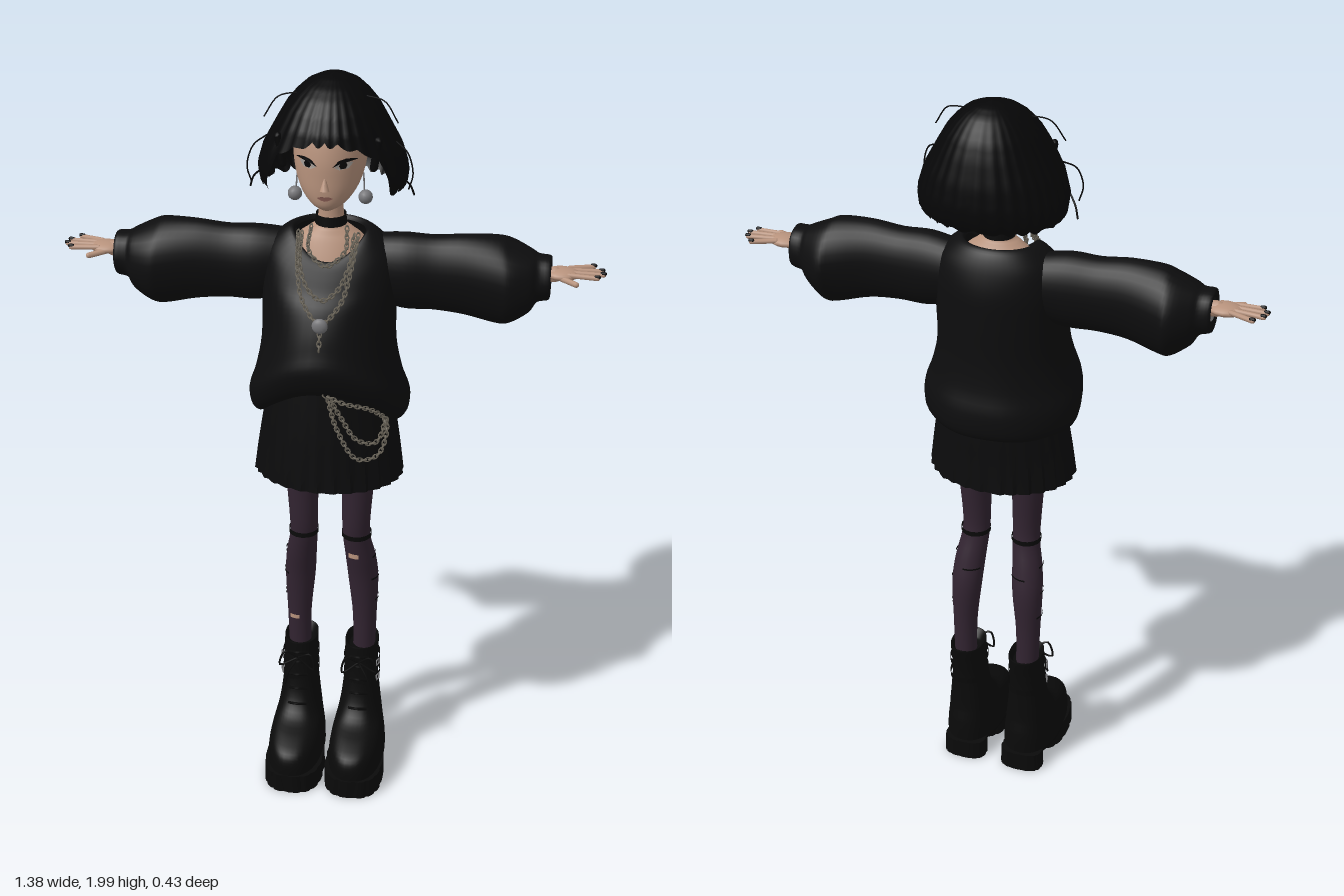
import * as THREE from 'three';
import { mergeGeometries, toCreasedNormals } from 'three/addons/utils/BufferGeometryUtils.js';

const V = (x, y, z) => new THREE.Vector3(x, y, z);
const mat = (name, color, side = THREE.FrontSide) => {
  const m = new THREE.MeshStandardMaterial({ color, side });
  m.name = name;
  return m;
};

// Closed tube surface: fn(u, angle) gives a point, angle 0 faces the front
function grid(rows, seg, fn, caps) {
  const pos = [], idx = [];
  for (let i = 0; i <= rows; i++)
    for (let j = 0; j < seg; j++) pos.push(...fn(i / rows, j / seg * Math.PI * 2).toArray());
  for (let i = 0; i < rows; i++) for (let j = 0; j < seg; j++) {
    const k = (j + 1) % seg, a = i * seg + j, b = i * seg + k;
    idx.push(a, b, b + seg, a, b + seg, a + seg);
  }
  if (caps) for (const row of [0, rows]) {
    const c = V(0, 0, 0), n = pos.length / 3;
    for (let j = 0; j < seg; j++) c.add(V().fromArray(pos, (row * seg + j) * 3));
    pos.push(...c.divideScalar(seg).toArray());
    for (let j = 0; j < seg; j++) {
      const a = row * seg + j, b = row * seg + (j + 1) % seg;
      idx.push(n, ...(row ? [a, b] : [b, a]));
    }
  }
  const g = new THREE.BufferGeometry();
  g.setAttribute('position', new THREE.Float32BufferAttribute(pos, 3));
  g.setIndex(idx);
  g.computeVertexNormals();
  return g;
}

// Rings, low to high: [y, half width, front z, back z, front lift, centre x]
function sampler(rings) {
  const cols = [0, 1, 2, 3, 4, 5].map(k =>
    new THREE.SplineCurve(rings.map((r, i) => new THREE.Vector2(i, r[k] || 0))));
  return u => cols.map(c => c.getPoint(u).y);
}
function loft(rings, { seg = 32, steps = 4, p = 1, caps = false, warp = () => 1 } = {}) {
  const at = sampler(rings);
  const pw = v => Math.sign(v) * Math.abs(v) ** p;
  return grid((rings.length - 1) * steps, seg, (u, a) => {
    const [y, rx, zf, zb, lift, cx] = at(u), w = warp(a, u);
    return V(cx + rx * w * pw(Math.sin(a)), y + lift * Math.max(0, Math.cos(a)) ** 2,
      (zf + zb) / 2 + (zf - zb) / 2 * w * pw(Math.cos(a)));
  }, caps);
}
function ringAt(rings, y) {
  let i = 0;
  while (i < rings.length - 2 && rings[i + 1][0] < y) i++;
  const a = rings[i], b = rings[i + 1], t = THREE.MathUtils.clamp((y - a[0]) / (b[0] - a[0]), 0, 1);
  return a.map((v, k) => v + (b[k] - v) * t);
}
function mirrored(geo) {
  const g = geo.clone().scale(-1, 1, 1);
  const ix = g.index ? Array.from(g.index.array) : Array.from({ length: g.attributes.position.count }, (_, i) => i);
  for (let i = 0; i < ix.length; i += 3) [ix[i], ix[i + 1]] = [ix[i + 1], ix[i]];
  return g.setIndex(ix);
}
const tube = (pts, r, n = 16) => new THREE.TubeGeometry(new THREE.CatmullRomCurve3(pts.map(q => V(...q))), n, r, 5);
function capsule(a, b, r) {
  const d = V(...b).sub(V(...a)), len = d.length();
  const g = new THREE.CapsuleGeometry(r, len, 3, 8);
  g.applyQuaternion(new THREE.Quaternion().setFromUnitVectors(V(0, 1, 0), d.normalize()));
  return g.translate((a[0] + b[0]) / 2, (a[1] + b[1]) / 2, (a[2] + b[2]) / 2);
}
function chain(pts) {
  const curve = new THREE.CatmullRomCurve3(pts.map(q => V(...q)));
  const n = Math.round(curve.getLength() / 0.011), links = [];
  for (let i = 0; i <= n; i++) {
    const g = new THREE.TorusGeometry(0.0065, 0.0022, 4, 8).scale(1.25, 0.9, 1).rotateX(i % 2 ? 1.2 : 0);
    g.applyQuaternion(new THREE.Quaternion().setFromUnitVectors(V(1, 0, 0), curve.getTangentAt(i / n)));
    links.push(g.translate(...curve.getPointAt(i / n).toArray()));
  }
  return mergeGeometries(links);
}

export function createModel() {
  const root = new THREE.Group();
  const D = THREE.DoubleSide;
  const knit = mat('black knit', 0x0d0d0e, D), hairMat = mat('black hair', 0x060607, D);
  const skirtMat = mat('skirt cloth', 0x0b0b0c, D), leather = mat('boot leather', 0x0a0a0a, D);
  const tights = mat('plum tights', 0x322431), skin = mat('skin', 0xb8937d, D);
  const metal = mat('aged metal', 0x6e685c), silver = mat('silver', 0x77777a);
  const eyeMat = mat('eye white', 0xa39c96, D), lipMat = mat('lips', 0x8c5f56, D);
  const add = (name, geo, m) => {
    const mesh = new THREE.Mesh(geo, m);
    mesh.name = name;
    root.add(mesh);
  };
  const both = (name, geo, m) => {
    add(name + 'Left', geo, m);
    add(name + 'Right', mirrored(geo), m);
  };

  // Head, neck and upper chest
  const head = [[1.685, .015, .068, .035], [1.70, .042, .083, -.005], [1.73, .068, .089, -.05],
    [1.77, .084, .09, -.09], [1.82, .092, .088, -.12], [1.88, .09, .072, -.125],
    [1.93, .065, .03, -.11], [1.95, .02, -.02, -.07]];
  add('head', loft(head, { caps: true }), skin);
  add('neckAndChest', loft([[1.46, .10, .085, -.09], [1.54, .10, .055, -.085], [1.585, .085, .035, -.07],
    [1.61, .055, .022, -.055], [1.635, .033, .015, -.047], [1.74, .031, .015, -.047]]), skin);
  const nose = new THREE.ConeGeometry(.012, .04, 8).scale(1, 1, 1.1);
  add('nose', nose.rotateX(-.25).translate(0, 1.765, .09), skin);

  // Face details laid on the surface of the head
  const faceZ = (x, y) => {
    const [, rx, f, b] = ringAt(head, y);
    return (f + b) / 2 + (f - b) / 2 * Math.sqrt(Math.max(0, 1 - (x / rx) ** 2));
  };
  const patch = (pts, out) => {
    const s = new THREE.Shape();
    s.setFromPoints(pts.map(q => new THREE.Vector2(...q)));
    const g = new THREE.ShapeGeometry(s), p = g.attributes.position;
    for (let i = 0; i < p.count; i++) p.setZ(i, faceZ(p.getX(i), p.getY(i)) + out);
    g.computeVertexNormals();
    return g;
  };
  both('eye', patch([[.022, 1.805], [.035, 1.798], [.055, 1.80], [.066, 1.812], [.052, 1.819], [.035, 1.817]], .003), eyeMat);
  both('iris', patch([[.038, 1.801], [.049, 1.801], [.053, 1.809], [.049, 1.818], [.038, 1.818], [.034, 1.809]], .005), hairMat);
  both('lashes', patch([[.018, 1.806], [.035, 1.814], [.053, 1.817], [.077, 1.817], [.066, 1.823], [.05, 1.826], [.033, 1.822]], .006), hairMat);
  add('mouth', patch([[-.02, 1.726], [-.01, 1.72], [0, 1.718], [.01, 1.72], [.02, 1.726], [.007, 1.731], [0, 1.729], [-.007, 1.731]], .004), lipMat);

  // Bobbed hair: a shell whose lower edge rises over the face as a fringe
  const hair = [[1.69, .165, .06, -.18], [1.72, .182, .085, -.205], [1.76, .187, .1, -.212], [1.82, .170, .102, -.205],
    [1.88, .138, .088, -.19], [1.92, .115, .066, -.175], [1.95, .09, .038, -.155], [1.97, .067, .008, -.135],
    [1.985, .036, -.03, -.105], [1.992, .001, -.067, -.069]];
  const ss = THREE.MathUtils.smoothstep;
  add('hair', grid(28, 144, (u, a) => {
    const f = Math.min(a, Math.PI * 2 - a);
    const edge = 1.868 - .03 * ss(f, .2, .75) - .115 * ss(f, .78, 1.02) - .012 * ss(f, 1.2, 2.4)
      - .014 * Math.abs(Math.sin(11 * a + Math.sin(5 * a)));
    const y = edge + (1.992 - edge) * Math.sin(u * Math.PI / 2);
    const [, rx, zf, zb] = ringAt(hair, y), w = 1 + .014 * Math.sin(30 * a + 2 * Math.sin(3 * a)) * (1 - u);
    return V(rx * w * Math.sin(a), y, (zf + zb) / 2 + (zf - zb) / 2 * w * Math.cos(a));
  }), hairMat);
  const lock = capsule([0, 0, 0], [0, .07, 0], .01);
  both('sideLock', lock.rotateZ(-.15).translate(.112, 1.79, .035), hairMat);
  both('flyaway', mergeGeometries([
    tube([[.16, 1.84, -.02], [.19, 1.82, 0], [.205, 1.77, .01], [.195, 1.73, .01]], .002),
    tube([[.17, 1.76, .0], [.195, 1.73, -.02], [.205, 1.70, -.03]], .0025),
    tube([[.08, 1.95, -.03], [.13, 1.94, -.02], [.165, 1.89, -.01]], .0018)]), hairMat);

  // Choker and earrings
  add('choker', new THREE.CylinderGeometry(.038, .04, .026, 24, 1, true).translate(0, 1.635, -.016), leather);
  both('earring', new THREE.SphereGeometry(.018, 14, 10).translate(.088, 1.70, .0), silver);
  both('earringWire', capsule([.085, 1.715, .0], [.082, 1.76, -.005], .002), silver);

  // Oversized jumper
  add('jumperBody', loft([[1.15, .165, .13, -.12, .10], [1.105, .182, .155, -.143, .12], [1.125, .203, .185, -.162, .12],
    [1.18, .207, .203, -.163, .12], [1.24, .188, .19, -.148, .11], [1.32, .172, .173, -.14, .08],
    [1.42, .17, .148, -.14, .03], [1.50, .172, .122, -.138, -.02], [1.56, .16, .1, -.125, -.045],
    [1.60, .125, .083, -.107, -.06], [1.615, .098, .07, -.09, -.065], [1.605, .088, .062, -.082, -.065]],
  { seg: 48, warp: (a, u) => 1 + .012 * Math.sin(7 * a + 9 * u) * (1 - u) }), knit);
  // Sleeve rings run outward along x: [x, half height, front z, back z, 0, -centre y]
  const sleeve = loft([[.09, .08, .03, -.09, 0, -1.51], [.18, .10, .048, -.085, 0, -1.503], [.26, .099, .045, -.08, 0, -1.502],
    [.34, .106, .052, -.085, 0, -1.502], [.42, .114, .066, -.108, 0, -1.492], [.455, .107, .07, -.118, 0, -1.487],
    [.50, .082, .052, -.092, 0, -1.492], [.52, .062, .035, -.075, 0, -1.502], [.55, .055, .032, -.07, 0, -1.506],
    [.548, .03, .01, -.05, 0, -1.51]], { warp: (a, u) => 1 + .025 * Math.sin(5 * a + 8 * u) * u });
  both('sleeve', sleeve.rotateZ(-Math.PI / 2), knit);

  // Hands with spread fingers and dark nails
  const fingers = [[-.045, -.066, .655], [-.032, -.04, .676], [-.016, -.018, .68], [0, .004, .666]];
  const digits = fingers.map(([z0, z1, x]) => capsule([.595, 1.522, z0], [x, 1.52, z1], .0065));
  digits.push(capsule([.57, 1.515, .0], [.615, 1.51, .027], .0075));
  const nails = fingers.map(([, z, x]) => capsule([x - .004, 1.5235, z], [x + .003, 1.5235, z], .0052));
  both('palm', new THREE.SphereGeometry(1, 16, 10).scale(.045, .015, .034).translate(.578, 1.517, -.021), skin);
  both('wrist', capsule([.52, 1.512, -.02], [.56, 1.514, -.02], .021), skin);
  both('fingers', mergeGeometries(digits), skin);
  both('nails', mergeGeometries(nails), hairMat);

  // Pleated skirt
  add('skirt', toCreasedNormals(loft([[.938, .193, .158, -.135], [1.02, .184, .15, -.13], [1.1, .173, .142, -.127],
    [1.24, .15, .125, -.115]], { seg: 112, warp: (a, u) => 1 + .05 * (1 - u) * ((a * 28 / (2 * Math.PI)) % 1 - .4) }), .6), skirtMat);
  add('shorts', new THREE.SphereGeometry(1, 20, 12).scale(.14, .08, .095).translate(0, 1.08, 0), skirtMat);

  // Legs with bands and small tears in the tights
  const leg = [[.33, .09, .031, -.042], [.45, .091, .033, -.04], [.57, .087, .041, -.036], [.65, .081, .041, -.02],
    [.72, .072, .037, -.003], [.78, .071, .038, .003], [.9, .074, .044, 0], [1.1, .075, .058, -.005]];
  both('leg', loft(leg.map(([y, cx, r, cz]) => [y, r, cz + r, cz - r, 0, cx]), { seg: 24 }), tights);
  const band = (y, h, from, arc) => {
    const [, cx, r, cz] = ringAt(leg, y);
    return new THREE.CylinderGeometry(r + .003, r + .003, h, 16, 1, true, from, arc).translate(cx, y, cz);
  };
  both('kneeBand', band(.732, .014, 0, Math.PI * 2), leather);
  both('tightsTears', mergeGeometries([band(.66, .006, 1, 1), band(.585, .006, .7, 1.2), band(.51, .006, 1, 1.2), band(.63, .005, 3, 1.2)]), leather);
  add('tearAtLeftKnee', band(.67, .014, -.65, .7), skin);
  add('tearAtRightShin', mirrored(band(.44, .012, -.1, .8)), skin);

  // Platform boots
  const boot = [[.045, .076, .212, -.092], [.085, .075, .211, -.092], [.115, .071, .196, -.09], [.137, .066, .15, -.086],
    [.16, .06, .085, -.082], [.205, .053, .05, -.08], [.28, .046, .032, -.08], [.36, .046, .026, -.094], [.372, .044, .022, -.092], [.35, .033, .0, -.075]];
  both('boot', loft(boot.map(r => [...r, 0, .085]), { seg: 40, p: .85, caps: true }), leather);
  const lugs = { seg: 60, p: .75, steps: 1, caps: true, warp: a => 1 - .03 * (Math.sin(15 * a) > .3) };
  const sole = (zf, zb, w) => toCreasedNormals(loft([[0, w, zf, zb, 0, .084], [.055, w - .001, zf, zb, 0, .084]], lugs), .6);
  both('toeSole', sole(.216, .0, .081), leather);
  both('heelBlock', sole(-.022, -.102, .06), leather);
  both('bootStrap', mergeGeometries([.265, .315].map(y => loft([[y - .01, .05, .036, -.087, 0, .086],
    [y + .01, .05, .034, -.09, 0, .086]], { steps: 1, p: .85 }))), leather);
  both('buckle', mergeGeometries([.265, .315].map(y =>
    new THREE.TorusGeometry(.011, .0025, 4, 4, Math.PI * 2).rotateZ(Math.PI / 4).rotateY(1.2).translate(.134, y, .0))), silver);
  const laces = [.19, .23, .27, .31, .34].map(y => {
    const z = ringAt(boot, y)[2] + .003;
    return tube([[.06, y, z - .01], [.085, y + .008, z + .004], [.11, y, z - .01]], .004);
  });
  laces.push(tube([[.085, .33, .034], [.12, .355, .045], [.135, .31, .045], [.085, .33, .034]], .003),
    tube([[.085, .33, .034], [.05, .35, .045], [.04, .30, .045], [.085, .33, .034]], .003),
    tube([[.085, .33, .034], [.11, .29, .048], [.12, .25, .05]], .003));
  both('laces', mergeGeometries(laces), leather);

  // Layered necklaces, pendant and hip chains
  const loop = (...half) => chain([...half.map(([x, y, z]) => [-x, y, z]), ...half.slice(0, -1).reverse()]);
  add('shortNecklace', loop([.045, 1.62, .02], [.045, 1.575, .06], [0, 1.545, .085]), metal);
  add('middleNecklace', loop([.065, 1.61, .04], [.06, 1.55, .1], [.035, 1.50, .133], [0, 1.48, .146]), metal);
  add('longNecklace', loop([.075, 1.61, .035], [.066, 1.54, .108], [.045, 1.47, .148], [0, 1.43, .175]), metal);
  add('pendant', new THREE.SphereGeometry(.02, 16, 12).scale(1, 1, .6).translate(0, 1.425, .177), silver);
  add('pendantDrop', chain([[0, 1.405, .182], [0, 1.37, .192]]), metal);
  add('hipChainLong', chain([[.015, 1.235, .165], [.04, 1.13, .158], [.09, 1.045, .152], [.14, 1.045, .125], [.16, 1.1, .097], [.15, 1.19, .1]]), metal);
  add('hipChainShort', chain([[.015, 1.235, .165], [.05, 1.16, .152], [.09, 1.095, .143], [.135, 1.08, .12], [.155, 1.13, .098], [.145, 1.19, .1]]), metal);
  add('hipChainUpper', chain([[.015, 1.235, .18], [.06, 1.215, .178], [.12, 1.19, .15], [.155, 1.15, .11]]), metal);
  return root;
}
